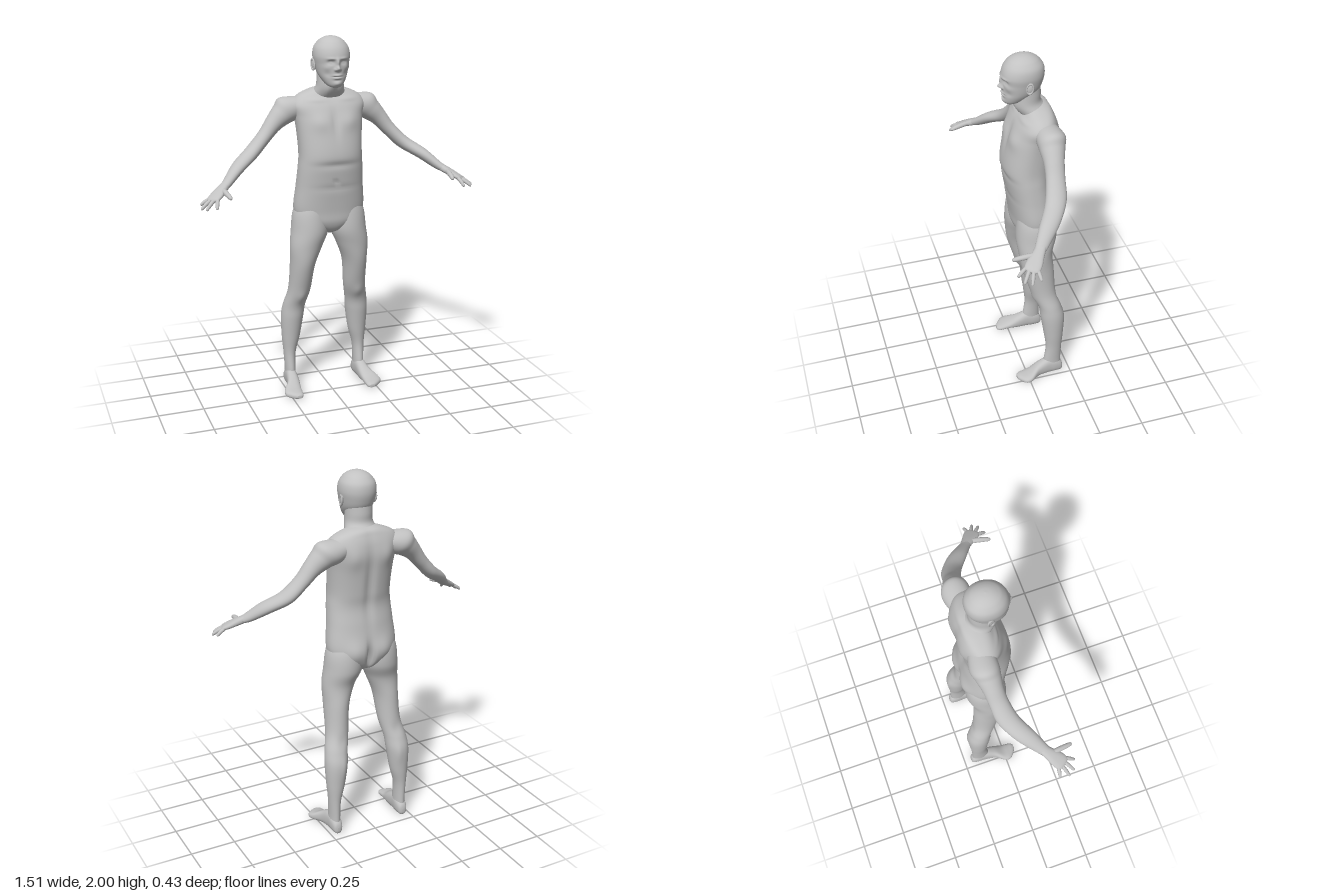
import * as THREE from 'three';

const skin = new THREE.MeshStandardMaterial({ color: 0xc2c2c2 });
skin.name = 'grey skin';

const vec = (a) => new THREE.Vector3(...a);

// Catmull-Rom through rows of numbers
function spline(rows, t) {
  const n = rows.length - 1;
  const i = Math.min(Math.floor(t), n - 1), f = t - i;
  const [a, b, c, d] = [i - 1, i, i + 1, i + 2].map((k) => rows[Math.max(0, Math.min(n, k))]);
  return b.map((_, k) => 0.5 * (2 * b[k] + (c[k] - a[k]) * f
    + (2 * a[k] - 5 * b[k] + 4 * c[k] - d[k]) * f * f
    + (3 * b[k] - a[k] - 3 * c[k] + d[k]) * f * f * f));
}

// Skin over cross-sections [x, y, z, radiusU, radiusV] lying in the plane of U and V.
// Bumps [x, y, sizeX, sizeY, push, side] raise or sink the front (1) or back (-1).
function loft(rows, { U = [1, 0, 0], V = [0, 0, 1], power = 2, seg = 40, steps = 6, bumps = [] } = {}) {
  const u = vec(U).normalize(), v = vec(V).normalize();
  const count = (rows.length - 1) * steps;
  const pos = [], idx = [];
  const bend = (s) => Math.sign(s) * Math.abs(s) ** (2 / power);
  for (let r = -1; r <= count + 1; r++) {
    const [x, y, z, ru, rv] = spline(rows, Math.max(0, Math.min(count, r)) / steps);
    const open = r < 0 || r > count ? 0 : 1;
    for (let s = 0; s < seg; s++) {
      const th = (s / seg) * Math.PI * 2;
      const p = new THREE.Vector3(x, y, z)
        .addScaledVector(u, open * Math.max(ru, 0.001) * bend(Math.cos(th)))
        .addScaledVector(v, open * Math.max(rv, 0.001) * bend(Math.sin(th)));
      let push = 0;
      for (const [bx, by, sx, sy, amount, side] of bumps) {
        const facing = Math.max(0, Math.sin(th) * side);
        push += side * amount * facing
          * Math.exp(-(((Math.abs(p.x) - bx) / sx) ** 2) - ((p.y - by) / sy) ** 2);
      }
      p.z += open * push;
      pos.push(p.x, p.y, p.z);
    }
  }
  const along = vec(rows[rows.length - 1]).sub(vec(rows[0]));
  const outward = u.clone().cross(v).dot(along) > 0;
  for (let r = 0; r < count + 2; r++) {
    for (let s = 0; s < seg; s++) {
      const a = r * seg + s, b = r * seg + (s + 1) % seg, c = a + seg, d = b + seg;
      if (outward) idx.push(a, b, d, a, d, c);
      else idx.push(a, d, b, a, c, d);
    }
  }
  const g = new THREE.BufferGeometry();
  g.setAttribute('position', new THREE.Float32BufferAttribute(pos, 3));
  g.setIndex(idx);
  g.computeVertexNormals();
  return g;
}

// Mirrored copy with the corner order turned round
function mirror(g) {
  const m = g.clone().scale(-1, 1, 1);
  const ix = m.index.array;
  for (let i = 0; i < ix.length; i += 3) [ix[i], ix[i + 1]] = [ix[i + 1], ix[i]];
  m.computeVertexNormals();
  return m;
}

const palmU = [-0.6, 0.1, 0.79], palmV = [0.39, 0.9, 0.18];

// Tapered digit with a round tip
function digit(from, to, r) {
  const a = vec(from), b = vec(to), d = b.clone().sub(a).normalize();
  const u = vec(palmV).cross(d).normalize(), v = d.clone().cross(u);
  const rows = [[0, 0.9], [0.3, 1], [0.6, 0.95], [0.85, 0.8], [0.96, 0.55], [1, 0.1]].map(([t, k]) => {
    const p = a.clone().lerp(b, t).addScaledVector(vec(palmV), 0.012 * t * (1 - t));
    return [p.x, p.y, p.z, r * k, r * k];
  });
  return loft(rows, { U: u.toArray(), V: v.toArray(), seg: 14, steps: 3 });
}

export function createModel() {
  const model = new THREE.Group();
  model.name = 'standing figure';
  const add = (name, g) => {
    const m = new THREE.Mesh(g, skin);
    m.name = name;
    model.add(m);
  };
  const pair = (name, g) => {
    add('left ' + name, g);
    add('right ' + name, mirror(g));
  };

  // Torso with chest, collar bones, spine and buttocks
  add('torso', loft([
    [0, 0.925, -0.07, 0.015, 0.03], [0, 0.95, -0.072, 0.07, 0.08], [0, 1.0, -0.073, 0.165, 0.108],
    [0, 1.07, -0.073, 0.196, 0.115], [0, 1.2, -0.057, 0.186, 0.117], [0, 1.3, -0.043, 0.178, 0.118],
    [0, 1.38, -0.043, 0.172, 0.128], [0, 1.5, -0.06, 0.178, 0.126], [0, 1.58, -0.076, 0.188, 0.118],
    [0, 1.64, -0.085, 0.2, 0.103], [0, 1.685, -0.094, 0.168, 0.08], [0, 1.715, -0.097, 0.1, 0.06],
    [0, 1.73, -0.09, 0.04, 0.03],
  ], {
    power: 2.3, seg: 96, steps: 8, bumps: [
      [0.085, 1.56, 0.055, 0.045, 0.012, 1], [0, 1.55, 0.018, 0.07, -0.008, 1],
      [0.09, 1.67, 0.06, 0.012, 0.006, 1], [0, 1.33, 0.12, 0.018, -0.007, 1],
      [0, 1.235, 0.011, 0.011, -0.009, 1], [0, 1.2, 0.12, 0.015, -0.004, 1],
      [0, 1.43, 0.025, 0.2, -0.014, -1], [0.1, 1.58, 0.045, 0.06, 0.012, -1],
      [0.09, 1.06, 0.06, 0.06, 0.018, -1], [0, 1.02, 0.016, 0.07, -0.035, -1],
    ],
  }));

  add('neck', loft([
    [0, 1.66, -0.1, 0.1, 0.075], [0, 1.7, -0.075, 0.088, 0.082], [0, 1.74, -0.047, 0.074, 0.075],
    [0, 1.79, -0.045, 0.071, 0.075], [0, 1.86, -0.045, 0.07, 0.07],
  ], { bumps: [[0, 1.745, 0.015, 0.015, 0.006, 1], [0.035, 1.71, 0.015, 0.03, 0.006, 1]] }));

  // Head with brow, eye sockets, nose, lips and chin
  add('head', loft([
    [0, 1.737, 0.045, 0.01, 0.01], [0, 1.745, 0.035, 0.032, 0.032], [0, 1.76, 0.02, 0.05, 0.055],
    [0, 1.79, 0, 0.069, 0.078], [0, 1.82, -0.017, 0.081, 0.096], [0, 1.86, -0.025, 0.09, 0.105],
    [0, 1.9, -0.027, 0.096, 0.11], [0, 1.94, -0.03, 0.09, 0.101], [0, 1.97, -0.03, 0.07, 0.079],
    [0, 1.986, -0.03, 0.05, 0.056], [0, 1.996, -0.03, 0.027, 0.03], [0, 2.0, -0.03, 0.003, 0.003],
  ], {
    seg: 160, steps: 11, power: 2.1, bumps: [
      [0, 1.872, 0.01, 0.02, 0.013, 1], [0, 1.842, 0.011, 0.013, 0.023, 1],
      [0.013, 1.836, 0.007, 0.007, 0.008, 1], [0.034, 1.874, 0.017, 0.011, -0.013, 1],
      [0.034, 1.872, 0.011, 0.006, 0.007, 1], [0.034, 1.872, 0.012, 0.002, -0.002, 1],
      [0.032, 1.892, 0.024, 0.007, 0.005, 1], [0, 1.806, 0.02, 0.006, 0.007, 1],
      [0, 1.791, 0.018, 0.006, 0.007, 1], [0, 1.799, 0.022, 0.0028, -0.006, 1],
      [0, 1.78, 0.02, 0.006, -0.003, 1], [0, 1.762, 0.02, 0.012, 0.006, 1],
      [0.058, 1.845, 0.02, 0.015, 0.005, 1], [0.05, 1.812, 0.016, 0.016, -0.005, 1],
    ],
  }));

  // Ears: a flat shell and a raised rim
  const place = (g) => g.rotateX(-0.15).rotateY(-0.25).translate(0.092, 1.853, -0.038);
  pair('ear shell', place(new THREE.SphereGeometry(1, 20, 14).scale(0.008, 0.028, 0.017)));
  pair('ear rim', place(new THREE.TorusGeometry(0.017, 0.004, 8, 28).rotateY(Math.PI / 2)
    .scale(1.1, 1.6, 0.95).translate(0.005, 0, 0)));

  // Legs
  pair('leg', loft([
    [0.09, 1.14, -0.07, 0.07, 0.085], [0.1, 1.05, -0.075, 0.099, 0.107], [0.109, 0.95, -0.072, 0.103, 0.111],
    [0.133, 0.86, -0.0625, 0.089, 0.093], [0.152, 0.75, -0.073, 0.068, 0.087], [0.163, 0.6, -0.1, 0.062, 0.07],
    [0.184, 0.5, -0.133, 0.063, 0.063], [0.193, 0.42, -0.148, 0.063, 0.067], [0.2, 0.3, -0.154, 0.051, 0.056],
    [0.208, 0.2, -0.155, 0.034, 0.046], [0.208, 0.1, -0.148, 0.029, 0.05], [0.208, 0.04, -0.148, 0.03, 0.05],
  ], {
    seg: 48, steps: 8, bumps: [
      [0.165, 0.56, 0.03, 0.035, 0.007, 1], [0.17, 0.55, 0.03, 0.04, -0.006, -1],
      [0.168, 0.41, 0.02, 0.06, 0.006, -1],
    ],
  }));

  // Feet: heel to toe
  pair('foot', loft([
    [0.208, 0.03, -0.21, 0.008, 0.012], [0.208, 0.036, -0.2, 0.024, 0.034], [0.208, 0.05, -0.165, 0.032, 0.05],
    [0.21, 0.054, -0.12, 0.032, 0.054], [0.216, 0.041, -0.06, 0.036, 0.041], [0.234, 0.026, -0.01, 0.048, 0.026],
    [0.236, 0.02, 0.025, 0.048, 0.02], [0.224, 0.016, 0.052, 0.033, 0.016], [0.217, 0.014, 0.068, 0.014, 0.009],
  ], { V: [0, 1, 0], power: 2.4, seg: 36 }));

  // Arms from inside the chest to the wrist
  pair('arm', loft([
    [0.1, 1.64, -0.105, 0.055, 0.05], [0.2, 1.618, -0.113, 0.074, 0.078], [0.25, 1.585, -0.107, 0.065, 0.062],
    [0.3, 1.54, -0.1, 0.053, 0.047], [0.354, 1.476, -0.09, 0.05, 0.038], [0.43, 1.4, -0.068, 0.056, 0.036],
    [0.52, 1.34, -0.01, 0.055, 0.032], [0.59, 1.282, 0.048, 0.04, 0.024], [0.62, 1.262, 0.075, 0.034, 0.018],
  ], { U: [0, 0, 1], V: [0.68, 0.73, 0], seg: 40, steps: 8 }));

  // Hands: palm, four fingers and thumb
  pair('palm', loft([
    [0.59, 1.282, 0.05, 0.024, 0.02], [0.63, 1.257, 0.085, 0.032, 0.019], [0.665, 1.235, 0.115, 0.041, 0.016],
    [0.69, 1.22, 0.136, 0.038, 0.012], [0.699, 1.214, 0.143, 0.02, 0.006],
  ], { U: palmU, V: palmV, power: 2.3, seg: 28 }));
  const fingers = {
    'index finger': [[0.667, 1.225, 0.154], [0.684, 1.186, 0.205]],
    'middle finger': [[0.678, 1.223, 0.14], [0.735, 1.18, 0.185]],
    'ring finger': [[0.69, 1.221, 0.124], [0.755, 1.178, 0.152]],
    'little finger': [[0.698, 1.22, 0.107], [0.747, 1.188, 0.102]],
  };
  for (const [name, [from, to]] of Object.entries(fingers)) pair(name, digit(from, to, 0.01));
  pair('thumb', digit([0.628, 1.257, 0.095], [0.611, 1.236, 0.212], 0.014));

  return model;
}
